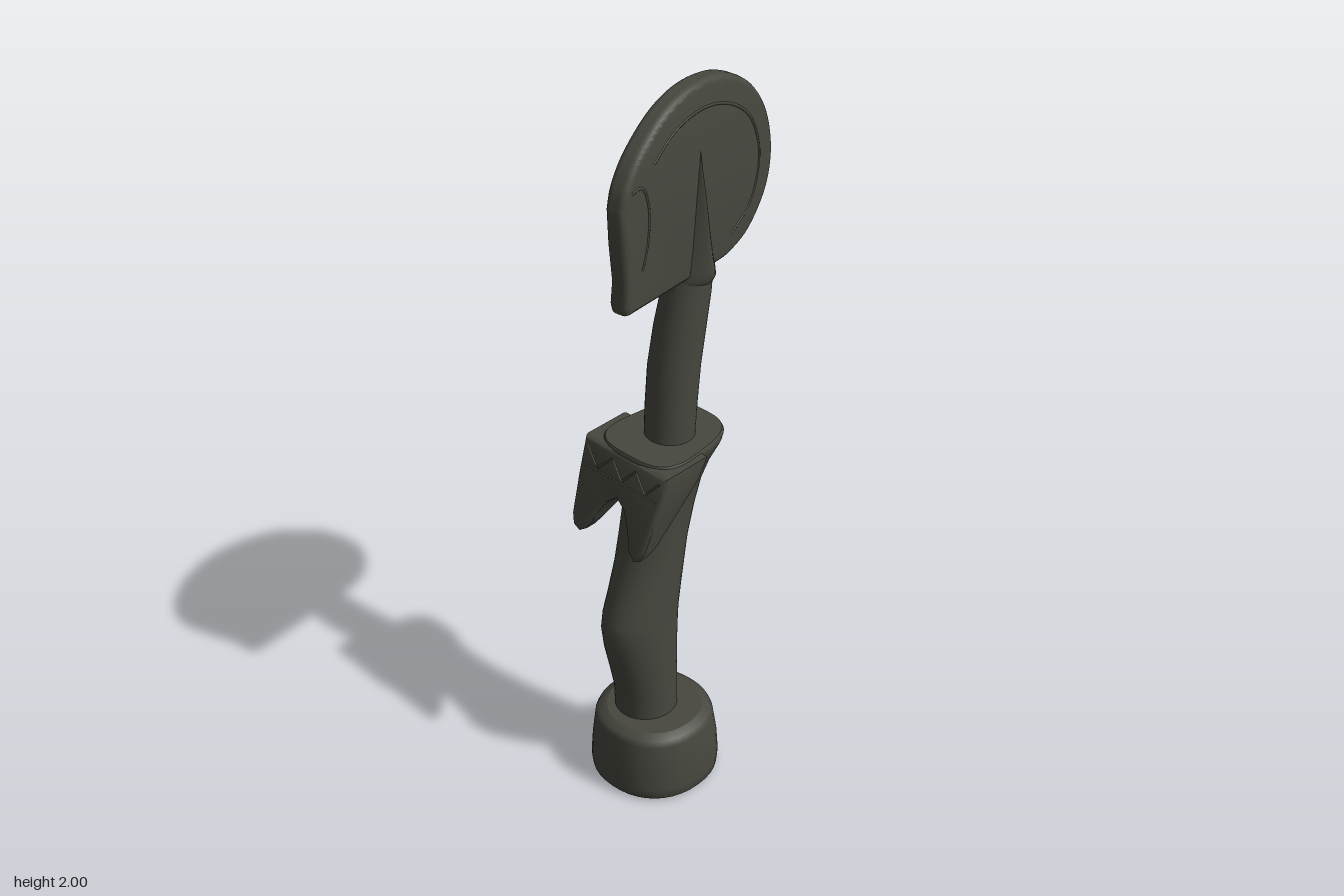
import * as THREE from 'three';
import { toCreasedNormals } from 'three/addons/utils/BufferGeometryUtils.js';

const SIDES = 40;

// Lofts rows of [y, xMin, xMax, zMin, zMax, roundness (2 = ellipse), taper towards the front]
function loft(rows) {
  const pos = [], index = [];
  const ring = ([y, x0, x1, z0, z1, n = 2, taper = 0]) => {
    for (let j = 0; j < SIDES; j++) {
      const a = (j / SIDES) * Math.PI * 2, c = Math.cos(a), s = Math.sin(a);
      const u = Math.sign(c) * Math.abs(c) ** (2 / n), v = Math.sign(s) * Math.abs(s) ** (2 / n);
      pos.push((x0 + x1) / 2 + ((x1 - x0) / 2) * u * (1 + taper * (v - 1)), y, (z0 + z1) / 2 + ((z1 - z0) / 2) * v);
    }
  };
  rows.forEach(ring);
  for (let i = 0; i < rows.length - 1; i++) {
    for (let j = 0; j < SIDES; j++) {
      const k = (j + 1) % SIDES, a = i * SIDES + j, b = i * SIDES + k;
      index.push(a, a + SIDES, b, b, a + SIDES, b + SIDES);
    }
  }
  // Flat caps with their own vertices
  [rows[0], rows[rows.length - 1]].forEach((row, top) => {
    const start = pos.length / 3;
    ring(row);
    pos.push((row[1] + row[2]) / 2, row[0], (row[3] + row[4]) / 2);
    for (let j = 0; j < SIDES; j++) {
      const a = start + j, b = start + ((j + 1) % SIDES);
      index.push(start + SIDES, top ? b : a, top ? a : b);
    }
  });
  const geo = new THREE.BufferGeometry();
  geo.setAttribute('position', new THREE.Float32BufferAttribute(pos, 3));
  geo.setIndex(index);
  geo.computeVertexNormals();
  return geo;
}

const points = (list) => list.map(([x, y]) => new THREE.Vector2(x, y));

export function createModel() {
  const model = new THREE.Group();
  const wood = new THREE.MeshStandardMaterial({ color: 0x47483f });
  wood.name = 'dark wood';
  const add = (name, geo, parent = model) => {
    const mesh = new THREE.Mesh(geo, wood);
    mesh.name = name;
    parent.add(mesh);
    return mesh;
  };

  // Round foot block with softened edges
  add('base', loft([
    [0, -0.15, 0.15, -0.065, 0.235, 2.2],
    [0.01, -0.162, 0.16, -0.076, 0.246, 2.2],
    [0.04, -0.165, 0.163, -0.08, 0.25, 2.2],
    [0.11, -0.16, 0.16, -0.075, 0.246, 2.2],
    [0.18, -0.15, 0.153, -0.063, 0.24, 2.2],
    [0.197, -0.143, 0.146, -0.056, 0.232, 2.2],
    [0.207, -0.12, 0.125, -0.035, 0.21, 2.2],
  ]));

  // Curved body with a forward belly, flaring into the shoulders
  add('body', loft([
    [0.19, -0.103, 0.06, 0.012, 0.178],
    [0.28, -0.101, 0.062, 0.013, 0.185],
    [0.36, -0.1, 0.064, 0.013, 0.205],
    [0.44, -0.099, 0.067, 0.012, 0.226],
    [0.5, -0.098, 0.069, 0.01, 0.236],
    [0.54, -0.097, 0.07, 0.008, 0.231],
    [0.6, -0.096, 0.072, 0.004, 0.209],
    [0.68, -0.096, 0.075, -0.003, 0.182],
    [0.76, -0.096, 0.077, -0.013, 0.164],
    [0.85, -0.094, 0.082, -0.03, 0.148, 2.1],
    [0.92, -0.1, 0.094, -0.048, 0.148, 2.4, 0.05],
    [0.98, -0.112, 0.115, -0.067, 0.162, 2.8, 0.08],
    [1.03, -0.126, 0.143, -0.088, 0.18, 3.2, 0.11],
    [1.046, -0.128, 0.148, -0.094, 0.188, 3.2, 0.12],
    [1.055, -0.122, 0.142, -0.09, 0.183, 3.2, 0.12],
  ]));

  // Chest block: arched front outline, its depth shaped by height
  const chestShape = new THREE.Shape(points([
    [-0.132, 1.05], [-0.134, 0.95], [-0.132, 0.84], [-0.122, 0.813], [-0.1, 0.805], [-0.078, 0.82],
    [-0.055, 0.86], [-0.03, 0.91], [0, 0.935], [0.03, 0.915], [0.052, 0.87],
    [0.07, 0.82], [0.09, 0.805], [0.108, 0.813], [0.12, 0.84], [0.138, 0.95], [0.15, 1.0], [0.15, 1.05],
  ]));
  const chest = new THREE.ExtrudeGeometry(chestShape, {
    depth: 1, steps: 3, bevelThickness: 0.1, bevelSize: 0.012, bevelOffset: -0.012, bevelSegments: 3,
  });
  const p = chest.attributes.position;
  for (let i = 0; i < p.count; i++) {
    const y = p.getY(i);
    const front = THREE.MathUtils.mapLinear(y, 0.81, 1.05, 0.247, 0.19);
    const back = y < 0.95 ? THREE.MathUtils.mapLinear(y, 0.81, 0.95, 0.217, 0.1)
      : THREE.MathUtils.mapLinear(y, 0.95, 1.05, 0.1, 0.04);
    p.setZ(i, THREE.MathUtils.lerp(back, front, (p.getZ(i) + 0.1) / 1.2));
  }
  add('chest', toCreasedNormals(chest, 0.7));

  // Carved zigzag band across the chest
  const frontZ = (y) => THREE.MathUtils.mapLinear(y, 0.81, 1.05, 0.247, 0.19) - 0.001;
  const strand = (name, list) => {
    const path = new THREE.CurvePath();
    const v = list.map(([x, y]) => new THREE.Vector3(x, y, frontZ(y)));
    for (let i = 1; i < v.length; i++) path.add(new THREE.LineCurve3(v[i - 1], v[i]));
    add(name, new THREE.TubeGeometry(path, 36, 0.003, 5));
  };
  strand('chestBand', [[-0.12, 0.98], [0.13, 0.98]]);
  strand('chestZigzag', [[-0.115, 1.03], [-0.075, 0.985], [-0.03, 1.03], [0.01, 0.985], [0.05, 1.03], [0.09, 0.985], [0.13, 1.03]]);

  // Long neck leaning back
  add('neck', loft([
    [1.04, -0.052, 0.077, -0.022, 0.102],
    [1.14, -0.05, 0.08, -0.028, 0.1],
    [1.25, -0.046, 0.084, -0.036, 0.095],
    [1.36, -0.036, 0.09, -0.048, 0.083],
    [1.45, -0.025, 0.094, -0.057, 0.067],
    [1.53, -0.016, 0.096, -0.06, 0.055],
  ]));

  // Thin disc head, flat under the chin, turned slightly sideways
  const head = new THREE.Group();
  head.name = 'head';
  head.position.x = 0.048;
  head.rotation.y = 0.13;
  model.add(head);
  const outline = new THREE.Shape();
  outline.moveTo(0.278, 1.522);
  outline.lineTo(0.284, 1.545);
  outline.lineTo(0.277, 1.6);
  outline.lineTo(0.288, 1.7);
  outline.lineTo(0.292, 1.79);
  outline.splineThru(points([
    [0.275, 1.845], [0.225, 1.91], [0.13, 1.975], [0.02, 2.0], [-0.1, 1.982], [-0.2, 1.921], [-0.265, 1.83],
    [-0.29, 1.72], [-0.268, 1.62], [-0.2, 1.54], [-0.12, 1.507], [-0.05, 1.505],
  ]));
  outline.lineTo(0.27, 1.52);
  const disc = new THREE.ExtrudeGeometry(outline, {
    depth: 0.02, curveSegments: 60, bevelThickness: 0.018, bevelSize: 0.016, bevelOffset: -0.016, bevelSegments: 4,
  });
  disc.translate(0, 0, -0.01).rotateY(-Math.PI / 2);
  add('headDisc', toCreasedNormals(disc, 0.6), head);

  // Shallow raised lines on both cheeks: rim arc and brow arc
  for (const side of [-1, 1]) {
    const line = (name, list) => {
      const curve = new THREE.CatmullRomCurve3(list.map(([z, y]) => new THREE.Vector3(side * 0.0265, y, z)));
      add(name, new THREE.TubeGeometry(curve, 40, 0.004, 6), head);
    };
    line('rimLine', [[0.18, 1.87], [0.1, 1.92], [0, 1.935], [-0.1, 1.91], [-0.19, 1.84], [-0.23, 1.73], [-0.2, 1.62], [-0.12, 1.56]]);
    line('browLine', [[0.262, 1.83], [0.225, 1.83], [0.2, 1.77], [0.205, 1.68], [0.225, 1.62]]);
  }

  // Wedge rising from the neck through both sides of the head
  add('neckWedge', loft([
    [1.495, -0.03, 0.105, -0.058, 0.058, 1.7],
    [1.51, -0.045, 0.115, -0.066, 0.064, 1.5],
    [1.53, -0.046, 0.117, -0.062, 0.06, 1.4],
    [1.6, -0.036, 0.11, -0.046, 0.047, 1.3],
    [1.72, -0.006, 0.096, -0.022, 0.026, 1.3],
    [1.83, 0.018, 0.077, -0.002, 0.006, 1.3],
  ]));

  return model;
}
